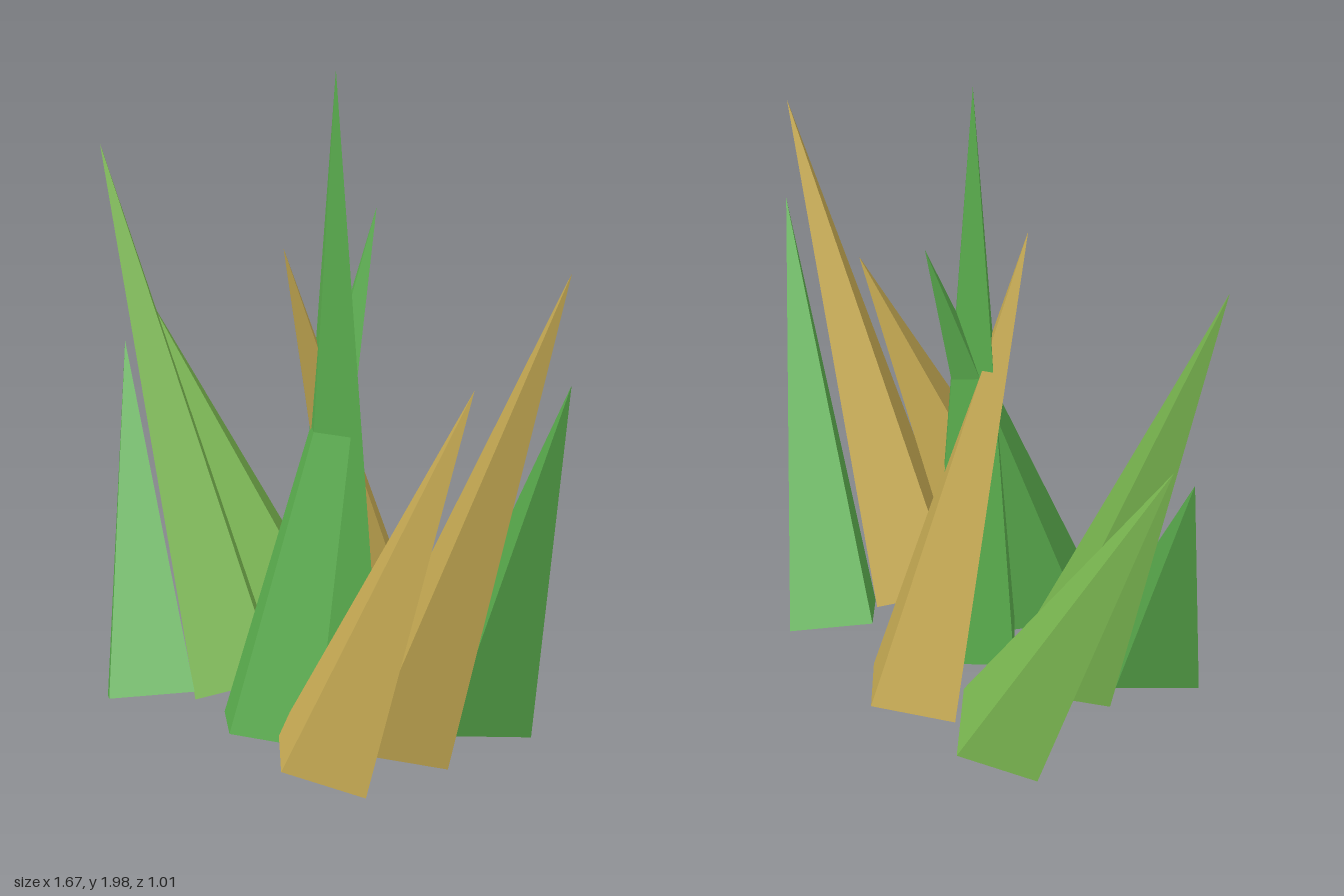
import * as THREE from 'three';

const RADIUS = 0.18;  // base corner radius shared by every blade
const BASE_Y = 0.07;  // height of each base centre

function material(name, color) {
  const m = new THREE.MeshStandardMaterial({ color, flatShading: true });
  m.name = name;
  return m;
}

// Four-sided spike leaning from its base centre (x, z) to its tip
function blade(name, mat, [x, z], tip) {
  const base = new THREE.Vector3(x, BASE_Y, z);
  const axis = new THREE.Vector3(...tip).sub(base);
  const height = axis.length();
  const geometry = new THREE.ConeGeometry(RADIUS, height, 4);
  geometry.translate(0, height / 2, 0);
  const mesh = new THREE.Mesh(geometry, mat);
  mesh.name = name;
  mesh.position.copy(base);
  // tilt forward/back about x, then sideways about z, without twisting
  mesh.rotation.set(Math.atan2(axis.z, axis.y), 0, -Math.asin(axis.x / height));
  return mesh;
}

export function createModel() {
  const green = material('leaf green', 0x5cb04f);
  const lime = material('yellow green', 0x7dbb52);
  const straw = material('dry straw', 0xc8ac54);

  // name, material, base centre [x, z], tip [x, y, z]
  const blades = [
    ['centreBlade', green, [-0.02, -0.03], [-0.02, 1.99, -0.03]],
    ['frontBlade', green, [-0.02, 0.27], [-0.02, 1.56, -0.21]],
    ['backBlade', straw, [-0.08, -0.335], [-0.08, 1.5, 0.125]],
    ['leftBlade', straw, [0.29, 0.03], [0.835, 1.59, 0.03]],
    ['frontLeftBlade', straw, [0.235, 0.33], [0.52, 1.19, 0.02]],
    ['backLeftBlade', green, [0.355, -0.275], [0.825, 1.27, 0]],
    ['rightBlade', lime, [-0.32, 0.09], [-0.84, 1.67, 0.09]],
    ['backRightBlade', lime, [-0.39, -0.275], [-0.825, 1.17, -0.07]],
    ['frontRightBlade', green, [-0.45, 0.33], [-0.8, 1.05, 0.05]],
  ];

  const group = new THREE.Group();
  group.name = 'grassTuft';
  for (const b of blades) group.add(blade(...b));
  return group;
}
